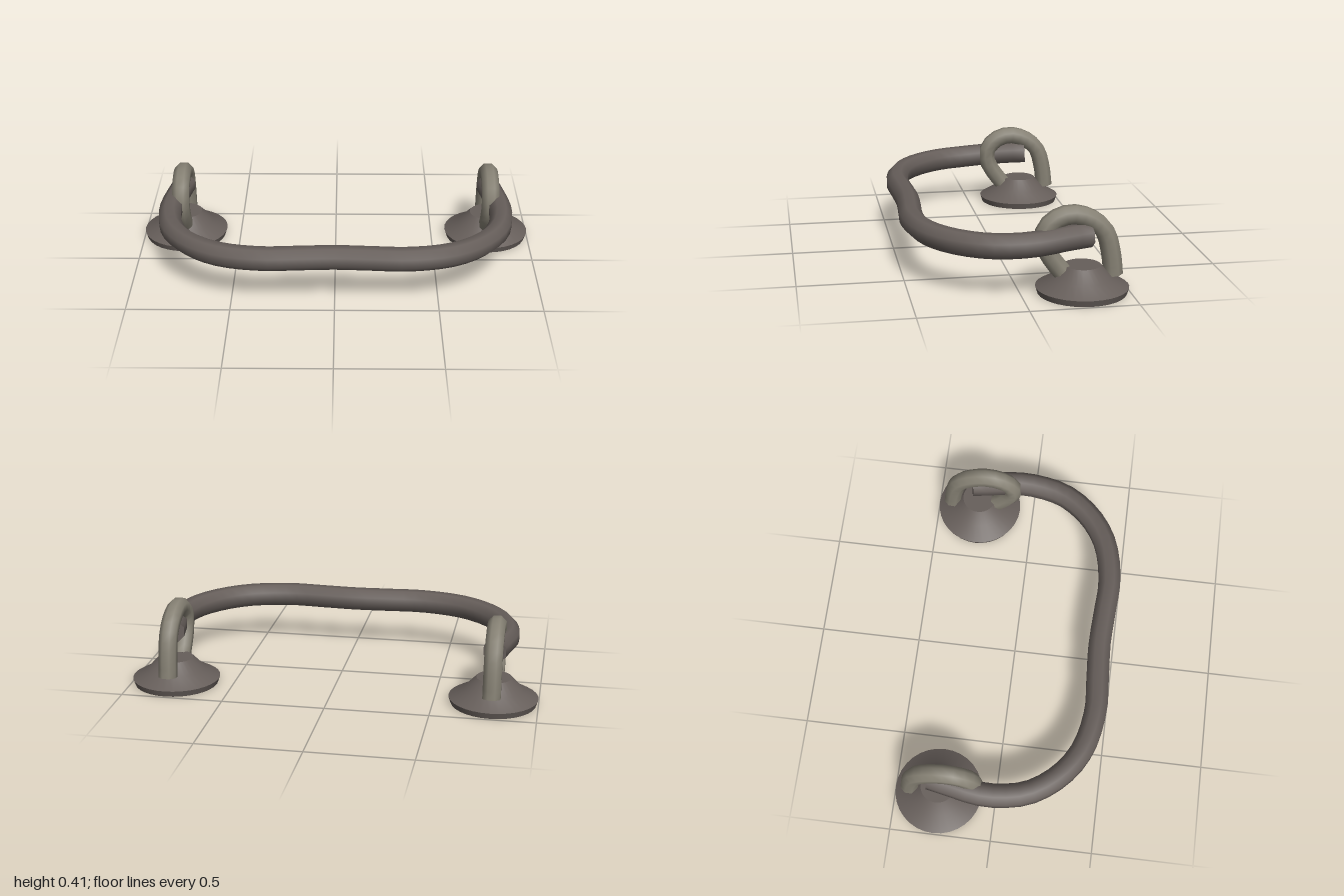
import * as THREE from 'three';
import { toCreasedNormals } from 'three/addons/utils/BufferGeometryUtils.js';

const darkMetal = new THREE.MeshStandardMaterial({ name: 'darkMetal', color: 0x665e5a });
const paleMetal = new THREE.MeshStandardMaterial({ name: 'paleMetal', color: 0x868174 });

// Capped rod swept along a curve; the section stays aligned to the "up" direction
function rod(points, radius, steps, sides, up) {
  const curve = new THREE.CatmullRomCurve3(points.map(p => new THREE.Vector3(...p)));
  const pos = [], index = [];
  for (let i = 0; i <= steps; i++) {
    const c = curve.getPointAt(i / steps);
    const t = curve.getTangentAt(i / steps);
    const n = up.clone().addScaledVector(t, -up.dot(t)).normalize();
    const b = t.clone().cross(n);
    for (let j = 0; j < sides; j++) {
      const a = ((j + 0.5) / sides) * Math.PI * 2;
      const p = c.clone().addScaledVector(n, radius * Math.cos(a)).addScaledVector(b, radius * Math.sin(a));
      pos.push(p.x, p.y, p.z);
    }
  }
  for (let i = 0; i < steps; i++) {
    for (let j = 0; j < sides; j++) {
      const a = i * sides + j, b = i * sides + (j + 1) % sides;
      index.push(a, b, b + sides, a, b + sides, a + sides);
    }
  }
  // End caps
  const last = steps * sides;
  for (let j = 1; j < sides - 1; j++) {
    index.push(0, j + 1, j, last, last + j, last + j + 1);
  }
  const geo = new THREE.BufferGeometry();
  geo.setAttribute('position', new THREE.Float32BufferAttribute(pos, 3));
  geo.setIndex(index);
  return toCreasedNormals(geo, 1.0);
}

function addMesh(parent, name, geometry, material) {
  const mesh = new THREE.Mesh(geometry, material);
  mesh.name = name;
  parent.add(mesh);
  return mesh;
}

export function createModel() {
  const model = new THREE.Group();
  model.name = 'drawerHandle';

  // Bowed grip: one half is listed, the other mirrored
  const half = [
    [0.785, 0.272, -0.317], [0.808, 0.266, -0.2], [0.829, 0.255, -0.08], [0.825, 0.248, 0.04],
    [0.79, 0.246, 0.17], [0.69, 0.246, 0.305], [0.55, 0.247, 0.397], [0.35, 0.248, 0.44], [0.17, 0.248, 0.433],
  ];
  const grip = [
    ...half.map(([x, y, z]) => [-x, y, z]),
    [0, 0.248, 0.425],
    ...half.slice().reverse(),
  ];
  addMesh(model, 'grip', rod(grip, 0.059, 44, 8, new THREE.Vector3(0, 1, 0)), darkMetal);

  // Flared mounting base
  const profile = [[0, 0], [0.205, 0], [0.215, 0.03], [0.14, 0.073], [0.085, 0.131], [0, 0.131]];
  const baseGeo = toCreasedNormals(
    new THREE.LatheGeometry(profile.map(p => new THREE.Vector2(...p)), 32), 0.6);

  // Hook-shaped loop that holds the grip
  const loop = [
    [0, 0.078, -0.428], [0, 0.18, -0.416], [0, 0.285, -0.385], [0, 0.345, -0.32], [0, 0.371, -0.23],
    [0, 0.345, -0.15], [0, 0.288, -0.107], [0, 0.215, -0.113], [0, 0.15, -0.152], [0, 0.105, -0.188],
  ];
  const loopGeo = rod(loop, 0.046, 18, 8, new THREE.Vector3(1, 0, 0));

  for (const [side, x] of [['left', 0.785], ['right', -0.785]]) {
    const mount = new THREE.Group();
    mount.name = side + 'Mount';
    mount.position.x = x;
    addMesh(mount, side + 'Base', baseGeo, darkMetal).position.z = -0.284;
    addMesh(mount, side + 'Loop', loopGeo, paleMetal);
    model.add(mount);
  }
  return model;
}
